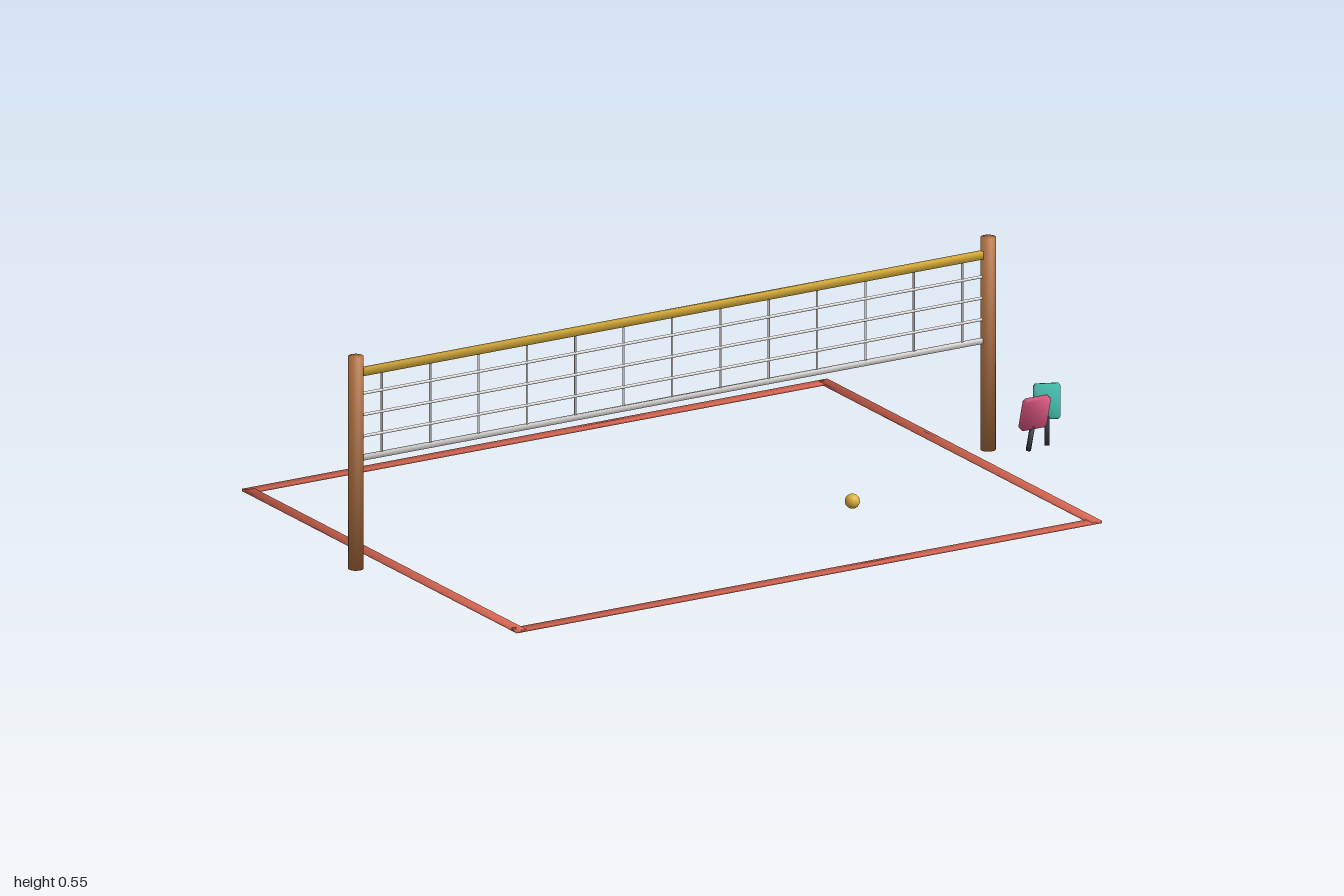
import * as THREE from 'three';

const mat = (name, color) => new THREE.MeshStandardMaterial({ name, color });

// Average the face normals at each corner so shading flows softly over every edge
function soften(geometry) {
  const { position, normal } = geometry.attributes;
  const sums = new Map();
  const corner = (i) => [position.getX(i), position.getY(i), position.getZ(i)]
    .map((v) => Math.round(v * 1e4)).join();
  for (let i = 0; i < position.count; i++) {
    const key = corner(i);
    if (!sums.has(key)) sums.set(key, new THREE.Vector3());
    sums.get(key).add(new THREE.Vector3().fromBufferAttribute(normal, i));
  }
  for (let i = 0; i < position.count; i++) {
    const n = sums.get(corner(i)).clone().normalize();
    normal.setXYZ(i, n.x, n.y, n.z);
  }
  return geometry;
}

function add(parent, name, geometry, material, x, y, z) {
  const mesh = new THREE.Mesh(geometry, material);
  mesh.name = name;
  mesh.position.set(x, y, z);
  parent.add(mesh);
  return mesh;
}

function group(parent, name) {
  const g = new THREE.Group();
  g.name = name;
  parent.add(g);
  return g;
}

export function createModel() {
  const model = new THREE.Group();
  model.name = 'netCourt';
  const wood = mat('wood brown', 0xb0703f);
  const gold = mat('gold', 0xddb03c);
  const white = mat('net white', 0xe2dfdd);
  const coral = mat('court coral', 0xe06a55);
  const pink = mat('paddle pink', 0xd8547f);
  const teal = mat('paddle teal', 0x3fb8a6);
  const dark = mat('handle charcoal', 0x33363b);

  // Posts
  const midX = -0.079, half = 0.902;
  const postGeo = soften(new THREE.CylinderGeometry(0.019, 0.019, 0.546, 16));
  for (const s of [-1, 1]) {
    add(model, s < 0 ? 'rightPost' : 'leftPost', postGeo, wood, midX + s * half, 0.273, 0);
  }

  // Net: flat top tape and bottom band, round cords between
  const net = group(model, 'net');
  const span = half * 2 - 0.03;
  add(net, 'topTape', soften(new THREE.BoxGeometry(span, 0.02, 0.013)), gold, midX, 0.503, 0);
  add(net, 'bottomBand', soften(new THREE.BoxGeometry(span, 0.013, 0.01)), white, midX, 0.282, 0);
  const rowGeo = new THREE.CylinderGeometry(0.004, 0.004, span, 8);
  rowGeo.rotateZ(Math.PI / 2);
  for (const y of [0.337, 0.392, 0.447]) add(net, 'horizontalCord', rowGeo, white, midX, y, 0);
  const columnGeo = new THREE.CylinderGeometry(0.0028, 0.0028, 0.221, 8);
  for (let i = -6; i <= 6; i++) {
    add(net, 'verticalCord', columnGeo, white, midX + i * 0.138, 0.3925, 0);
  }

  // Boundary lines
  const court = group(model, 'court');
  const longGeo = soften(new THREE.BoxGeometry(1.67, 0.006, 0.028));
  const sideGeo = soften(new THREE.BoxGeometry(0.028, 0.006, 1.3));
  for (const s of [-1, 1]) {
    add(court, s < 0 ? 'backLine' : 'frontLine', longGeo, coral, midX, 0.0075, s * 0.636);
    add(court, s < 0 ? 'rightLine' : 'leftLine', sideGeo, coral, midX + s * 0.821, 0.0075, 0);
  }

  // Ball
  add(model, 'ball', new THREE.SphereGeometry(0.0185, 20, 14), gold, 0.292, 0.024, 0.238);

  // Paddles: chamfered head on a slim grip, pivoting at the foot of the grip
  const w = 0.037, b = 0.064, t = 0.152, c = 0.006;
  const outline = new THREE.Shape([
    [-w + c, b], [w - c, b], [w, b + c], [w, t - c],
    [w - c, t], [-w + c, t], [-w, t - c], [-w, b + c],
  ].map(([x, y]) => new THREE.Vector2(x, y)));
  const headGeo = new THREE.ExtrudeGeometry(outline, { depth: 0.012, bevelEnabled: false });
  headGeo.translate(0, 0, -0.006);
  soften(headGeo);
  const gripGeo = soften(new THREE.CylinderGeometry(0.0065, 0.0065, 0.072, 12));
  const paddle = (name, color, x, z, lean, twist, roll) => {
    const p = group(model, name);
    add(p, 'head', headGeo, color, 0, 0, 0);
    add(p, 'grip', gripGeo, dark, 0, 0.036, 0);
    p.position.set(x, 0.01, z);
    p.rotation.set(lean, twist, roll, 'XZY');
  };
  paddle('pinkPaddle', pink, 0.889, 0.081, 0.28, 0, 0);
  paddle('tealPaddle', teal, 0.947, 0.073, -0.23, 0.08, -0.13);

  return model;
}
